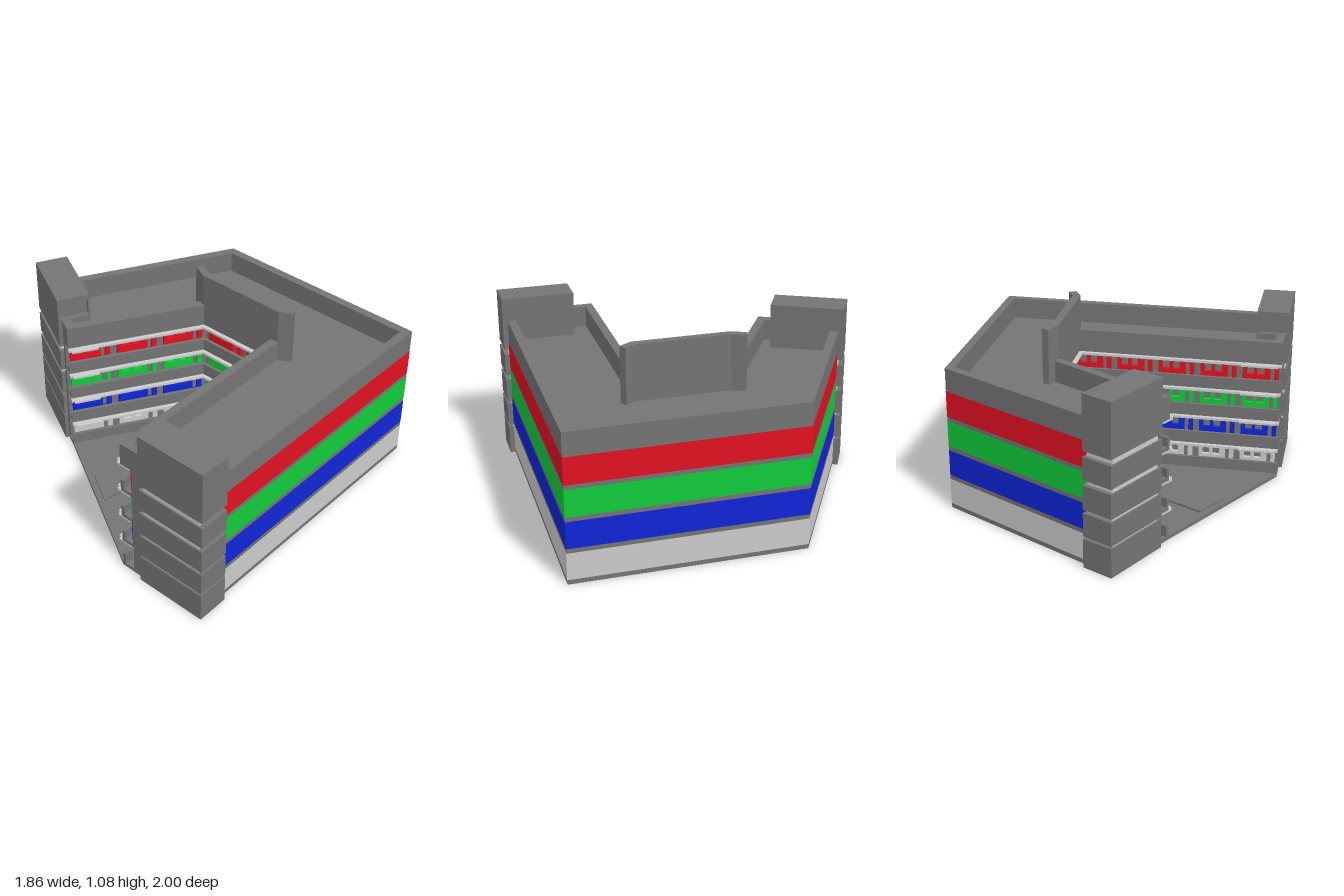
import * as THREE from 'three';

const mat = (color) => new THREE.MeshStandardMaterial({ color });
const DARK = mat(0x747474), LIGHT = mat(0xcccccc);
const RED = mat(0xe21121), GREEN = mat(0x11cb3b), BLUE = mat(0x1025d6);

// Plan lines as [x, z]
const COURT = [[-0.91, 0.413], [0.33, 0.413], [0.33, -0.09], [-0.385, -0.515]];
const OUTER = [[-0.02, -0.896], [0.93, -0.372], [0.93, 0.97], [-0.76, 0.97]];
const END_A = [[-0.34, -0.6], [-0.21, -0.54]];
const END_B = [[-0.76, 0.57], [-0.91, 0.57]];

// Mitred parallel of a plan line; positive d moves towards the building
function offset(path, d, closed = false) {
  const n = path.length;
  const normal = (a, b) => {
    const dx = b[0] - a[0], dz = b[1] - a[1], l = Math.hypot(dx, dz);
    return [-dz / l, dx / l];
  };
  return path.map((p, i) => {
    const prev = path[(i + n - 1) % n], next = path[(i + 1) % n];
    const n2 = closed || i < n - 1 ? normal(p, next) : normal(prev, p);
    const n1 = closed || i > 0 ? normal(prev, p) : n2;
    const k = d / (1 + n1[0] * n2[0] + n1[1] * n2[1]);
    return [p[0] + (n1[0] + n2[0]) * k, p[1] + (n1[1] + n2[1]) * k];
  });
}

// Plan points as a counter-clockwise outline
function outline(pts) {
  const v = pts.map(([x, z]) => new THREE.Vector2(x, -z));
  return THREE.ShapeUtils.isClockWise(v) ? v.reverse() : v;
}

// Plan polygon extruded upwards from y0 to y1
function prism(name, pts, y0, y1, material, hole) {
  const shape = new THREE.Shape(outline(pts));
  if (hole) shape.holes.push(new THREE.Path(outline(hole)));
  const geo = new THREE.ExtrudeGeometry(shape, { depth: y1 - y0, bevelEnabled: false });
  geo.rotateX(-Math.PI / 2);
  geo.translate(0, y0, 0);
  const mesh = new THREE.Mesh(geo, material);
  mesh.name = name;
  return mesh;
}

// Band following a plan line between two offsets
const strip = (name, path, d0, d1, y0, y1, material) =>
  prism(name, [...offset(path, d0), ...offset(path, d1).reverse()], y0, y1, material);

function box(name, size, pos, material) {
  const mesh = new THREE.Mesh(new THREE.BoxGeometry(...size), material);
  mesh.position.set(...pos);
  mesh.name = name;
  return mesh;
}

// Stair tower: stacked blocks with light slits and a recess at the court end
function tower(name) {
  const g = new THREE.Group();
  g.name = name;
  const W = 0.194, D = 0.44;
  const blocks = [[0, 0.175], [0.19, 0.33], [0.35, 0.495], [0.525, 0.66], [0.695, 0.88], [0.98, 1.018]];
  for (const [y0, y1] of blocks)
    g.add(box('towerBlock', [W, y1 - y0, D], [0, (y0 + y1) / 2, 0], DARK));
  g.add(box('towerCore', [W - 0.02, 0.68, D - 0.05], [0, 0.36, 0], LIGHT));
  for (const s of [-1, 1])
    g.add(box('recessCheek', [0.01, 0.1, D], [s * (W / 2 - 0.005), 0.93, 0], DARK));
  g.add(box('recessBack', [W - 0.02, 0.1, D - 0.03], [0, 0.93, 0.015], DARK));
  return g;
}

// Court facade panel with a door slot and two windows
function panelGeometry(w, h) {
  const rect = (x0, x1, y0, y1) =>
    [[x0, y0], [x1, y0], [x1, y1], [x0, y1]].map(([x, y]) => new THREE.Vector2(x * w, y * h));
  const s = new THREE.Shape(rect(0, 1, 0, 1));
  s.holes.push(new THREE.Path(rect(0.12, 0.24, 0.05, 0.92)));
  for (const x of [0.4, 0.69]) s.holes.push(new THREE.Path(rect(x, x + 0.2, 0.42, 0.86)));
  return new THREE.ExtrudeGeometry(s, { depth: 0.03, bevelEnabled: false });
}

function courtPanels(y, h, material) {
  const g = new THREE.Group();
  g.name = 'courtFacade';
  const line = offset(COURT, 0.055);
  [5, 2, 3].forEach((count, i) => {
    const [a, b] = [line[i], line[i + 1]];
    const dx = b[0] - a[0], dz = b[1] - a[1], len = Math.hypot(dx, dz);
    const pitch = len / count, w = pitch * 0.84;
    const geo = panelGeometry(w, h);
    for (let k = 0; k < count; k++) {
      const t = (k * pitch + (pitch - w) / 2) / len;
      const m = new THREE.Mesh(geo, material);
      m.name = 'windowPanel';
      m.position.set(a[0] + dx * t, y, a[1] + dz * t);
      m.rotation.y = Math.atan2(-dz, dx);
      g.add(m);
    }
  });
  return g;
}

export function createModel() {
  const model = new THREE.Group();
  model.name = 'building';

  // Ground slab, ramp and solid core
  model.add(prism('groundSlab', [COURT[0], COURT[3], ...END_A, ...OUTER, ...END_B], 0, 0.022, DARK));
  model.add(prism('ramp', [[-0.52, -0.2], [-0.63, -0.01], [-0.02, 0.11], [-0.02, 0.06]], 0.01, 0.035, DARK));
  model.add(prism('core', [...offset(COURT, 0.08), ...END_A, ...OUTER, ...END_B], 0.01, 0.745, DARK));

  // Storeys: outer cladding, court facade, ledge with landings, balustrade
  const landings = [
    [[-0.89, 0.413], [-0.67, 0.413]],
    [[-0.235, -0.426], [-0.372, -0.507]],
  ];
  [LIGHT, BLUE, GREEN, RED].forEach((material, i) => {
    const y = 0.027 + i * 0.1845;
    const ledge = y + 0.16;
    model.add(strip('outerCladding', OUTER, -0.001, 0.02, y, ledge - 0.002, material));
    model.add(courtPanels(y, 0.155, material));
    model.add(strip('ledge', COURT, -0.025, 0.06, ledge - 0.014, ledge, LIGHT));
    for (const end of landings)
      model.add(strip('landing', end, -0.042, 0, ledge - 0.013, ledge - 0.001, LIGHT));
    if (i === 3) return;
    model.add(strip('galleryFloor', COURT, 0, 0.09, ledge, ledge + 0.02, DARK));
    model.add(strip('balustrade', COURT, 0, 0.02, ledge, ledge + 0.075, DARK));
  });
  model.add(strip('groundBalustrade', COURT, 0, 0.02, 0.015, 0.09, DARK));

  // Roof deck and parapet, running into the towers
  const roof = [...COURT, [-0.145, -0.965], [0.93, -0.372], [0.93, 0.97], [-0.91, 0.97]];
  model.add(prism('roofDeck', offset(roof, 0.01, true), 0.735, 0.75, DARK));
  model.add(prism('parapet', roof, 0.74, 0.878, DARK, offset(roof, 0.05, true)));

  // Folded screen wall on the roof
  const screen = [[0.375, 0.535], [0.33, 0.46], [0.33, -0.1], [0.37, -0.19]];
  model.add(strip('roofScreen', screen, 0, 0.046, 0.74, 1.083, DARK));

  // Towers at both wing ends
  const a = tower('frontTower');
  a.position.set(-0.833, 0, 0.78);
  const b = tower('rearTower');
  b.position.set(-0.173, 0, -0.763);
  b.rotation.y = Math.atan2(0.456, -0.89);
  model.add(a, b);

  return model;
}
